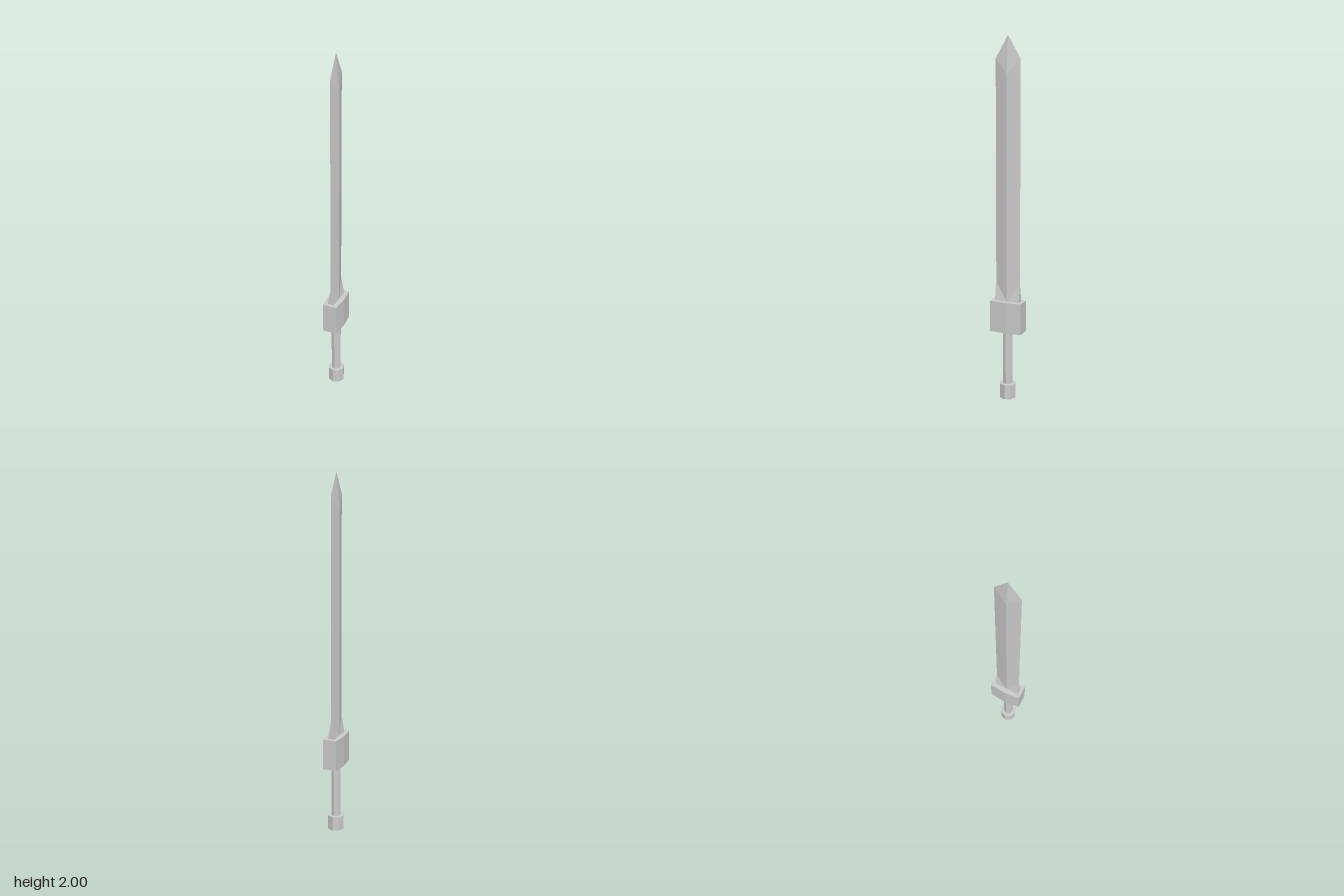
import * as THREE from 'three';

const material = new THREE.MeshStandardMaterial({ color: 0xcccccc, flatShading: true });

function addPart(group, name, geometry, x = 0, y = 0, z = 0) {
  const mesh = new THREE.Mesh(geometry, material);
  mesh.name = name;
  mesh.position.set(x, y, z);
  group.add(mesh);
}

// Diamond-section blade with a rectangular foot: one quarter, mirrored in x and z
function bladeGeometry(w, d, bottom, footTop, ridgeTop, edgeTop, tip) {
  const positions = [];
  for (const sx of [1, -1]) {
    for (const sz of [1, -1]) {
      const p = (x, y, z) => [x * sx, y, z * sz];
      const ridgeLow = p(w, bottom, 0), ridgeHigh = p(w, ridgeTop, 0);
      const corner = p(w, bottom, d), edgeLow = p(0, footTop, d);
      const edgeHigh = p(0, edgeTop, d), point = p(0, tip, 0);
      const endCentre = p(0, bottom, d), centre = p(0, bottom, 0);
      const triangles = [
        [ridgeLow, edgeLow, corner],
        [ridgeLow, ridgeHigh, edgeLow],
        [ridgeHigh, edgeHigh, edgeLow],
        [ridgeHigh, point, edgeHigh],
        [corner, edgeLow, endCentre],
        [centre, ridgeLow, corner],
        [centre, corner, endCentre],
      ];
      // An odd number of mirrors turns the winding round
      for (const [a, b, c] of triangles) positions.push(...a, ...(sx * sz > 0 ? [...b, ...c] : [...c, ...b]));
    }
  }
  const geometry = new THREE.BufferGeometry();
  geometry.setAttribute('position', new THREE.Float32BufferAttribute(positions, 3));
  geometry.computeVertexNormals();
  return geometry;
}

// Six-sided guard, widest at the middle of its broad faces
function guardGeometry(mid, end, d, height) {
  const outline = [[mid, 0], [end, d], [-end, d], [-mid, 0], [-end, -d], [end, -d]];
  const shape = new THREE.Shape(outline.map(([x, y]) => new THREE.Vector2(x, y)));
  const geometry = new THREE.ExtrudeGeometry(shape, { depth: height, bevelEnabled: false });
  return geometry.rotateX(-Math.PI / 2);
}

export function createModel() {
  const sword = new THREE.Group();
  sword.name = 'sword';

  addPart(sword, 'pommel', new THREE.CylinderGeometry(0.047, 0.047, 0.083, 8), 0.001, 0.0415, 0);
  addPart(sword, 'grip', new THREE.CylinderGeometry(0.028, 0.028, 0.31, 8), 0, 0.236, 0);
  addPart(sword, 'guard', guardGeometry(0.048, 0.04, 0.092, 0.175), -0.001, 0.388, -0.001);
  addPart(sword, 'blade', bladeGeometry(0.019, 0.071, 0.56, 0.665, 1.8, 1.88, 2), -0.002, 0, -0.001);

  return sword;
}
